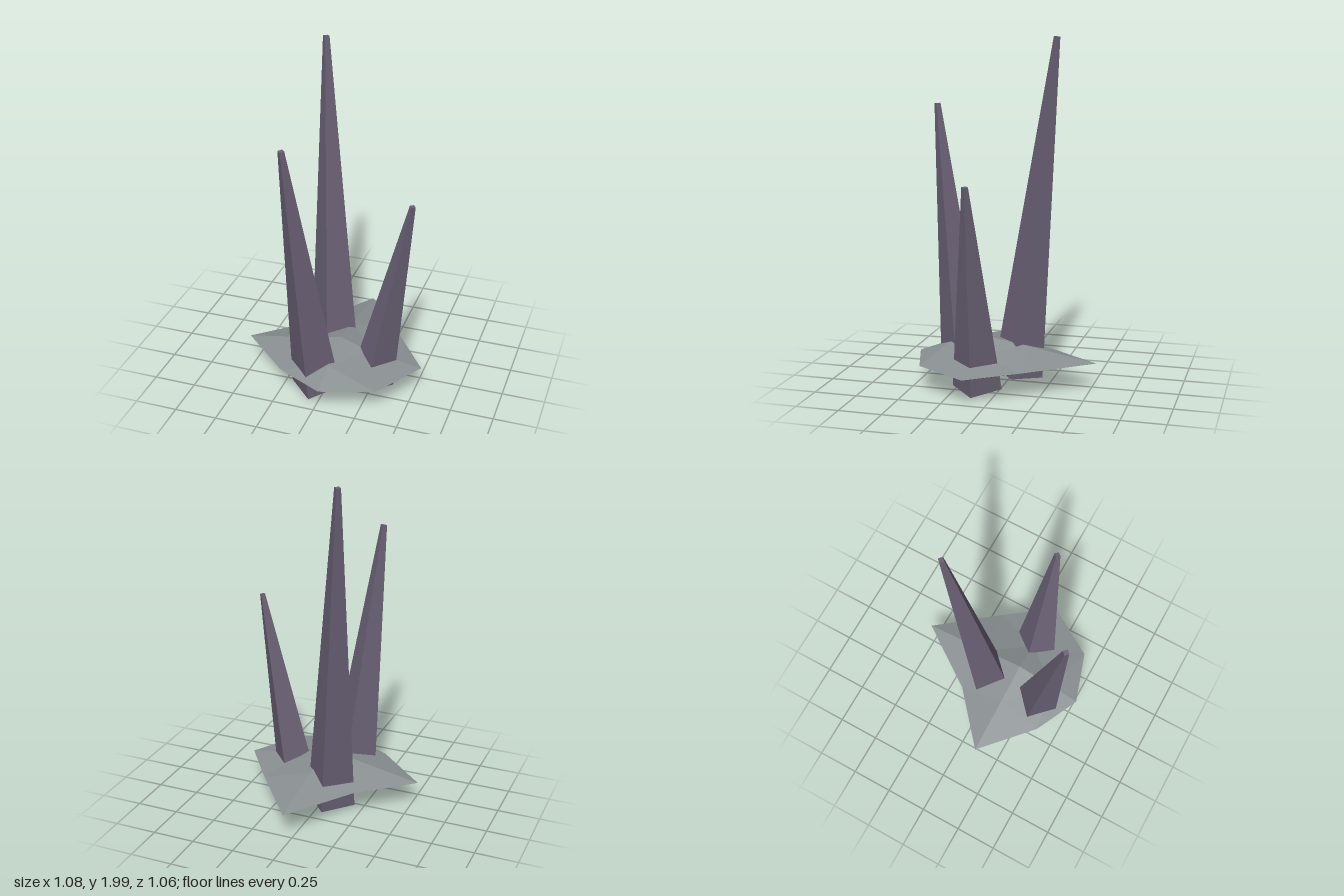
import * as THREE from 'three';

const CX = 0.04, CZ = 0.117, RIM_Y = 0.162;

// Faceted rock slab: an eight-point rim with four shoulder points and a pole on each side
function rockGeometry() {
  const rim = [0.495, 0.435, 0.408, 0.39, 0.58, 0.38, 0.65, 0.405];
  const at = (i, r, y) => {
    const a = (i * Math.PI) / 4;
    return [CX + r * Math.cos(a), y, CZ + r * Math.sin(a)];
  };
  const ring = rim.map((r, i) => at(i, r, RIM_Y));
  const halves = [
    { up: true, pole: 0.275, r: [0.18, 0.23, 0.24, 0.245], y: [0.212, 0.222, 0.225, 0.235] },
    { up: false, pole: 0.07, r: [0.3, 0.3, 0.24, 0.33], y: [0.105, 0.085, 0.09, 0.11] },
  ];
  const pos = [];
  for (const h of halves) {
    const tri = (a, b, c) => pos.push(...a, ...(h.up ? c : b), ...(h.up ? b : c));
    const mid = h.r.map((r, k) => at(2 * k, r, h.y[k]));
    const pole = [CX, h.pole, CZ];
    for (let k = 0; k < 4; k++) {
      const n = (k + 1) % 4;
      const corner = ring[2 * k + 1];
      tri(ring[2 * k], corner, mid[k]);
      tri(corner, ring[2 * n], mid[n]);
      tri(mid[k], corner, mid[n]);
      tri(mid[k], mid[n], pole);
    }
  }
  const g = new THREE.BufferGeometry();
  g.setAttribute('position', new THREE.Float32BufferAttribute(pos, 3));
  g.computeVertexNormals();
  return g;
}

// Four-sided tapered spike leaning from its base centre to its tip
function spike(name, base, tip, rx, rz, material) {
  const a = new THREE.Vector3(...base), b = new THREE.Vector3(...tip);
  const axis = b.clone().sub(a);
  const mesh = new THREE.Mesh(new THREE.CylinderGeometry(0.019 / 0.147, 1, axis.length(), 4), material);
  mesh.name = name;
  mesh.scale.set(rx, 1, rz);
  mesh.position.copy(a).add(b).multiplyScalar(0.5);
  mesh.quaternion.setFromUnitVectors(new THREE.Vector3(0, 1, 0), axis.normalize());
  return mesh;
}

export function createModel() {
  const group = new THREE.Group();
  group.name = 'spikeCluster';
  const rockMat = new THREE.MeshStandardMaterial({ color: 0x8a9092, flatShading: true });
  const spikeMat = new THREE.MeshStandardMaterial({ color: 0x6a6175, flatShading: true });

  const rock = new THREE.Mesh(rockGeometry(), rockMat);
  rock.name = 'rockBase';
  group.add(rock);

  group.add(
    spike('tallSpike', [-0.054, 0.035, -0.048], [-0.167, 1.998, -0.242], 0.15, 0.147, spikeMat),
    spike('mediumSpike', [-0.056, 0.035, 0.284], [-0.167, 1.606, 0.475], 0.15, 0.145, spikeMat),
    spike('shortSpike', [0.24, 0.03, 0.117], [0.453, 1.212, 0.117], 0.13, 0.145, spikeMat),
  );
  return group;
}
